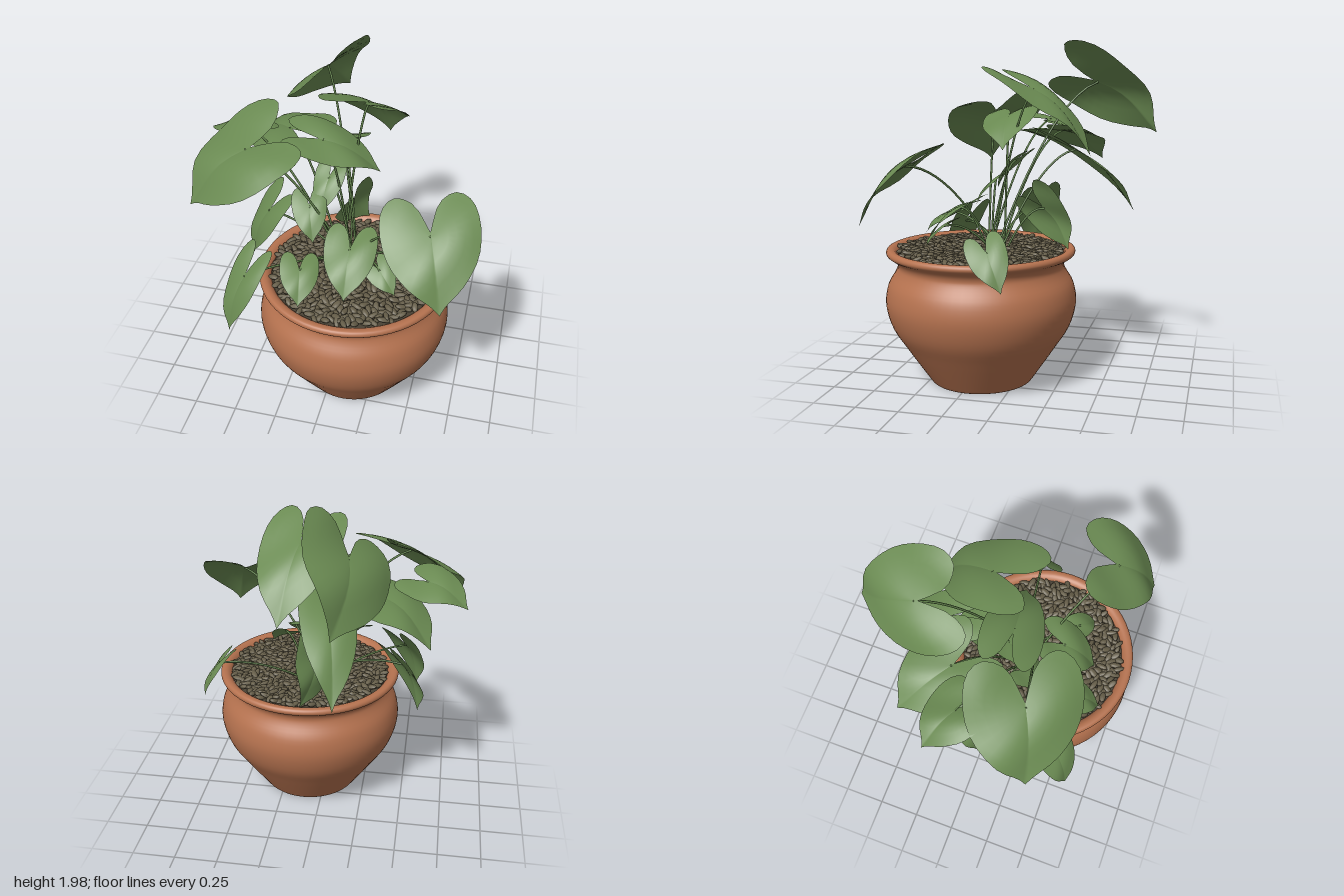
import * as THREE from 'three';
import { mergeGeometries } from 'three/addons/utils/BufferGeometryUtils.js';

const V = (a) => new THREE.Vector3(...a);
const CENTRE = [0.11, 0.22]; // pot axis in x, z

// Each leaf: where the stalk joins, tip, half-width, roll in degrees
const LEAVES = [
  [[-0.20, 1.75, -0.41], [-0.16, 1.47, -0.77], 0.29, -47],
  [[0.11, 1.71, -0.10], [0.18, 1.36, -0.44], 0.23, 0],
  [[-0.10, 1.56, 0.10], [0.22, 1.38, 0.06], 0.17, 12],
  [[-0.48, 1.56, 0.30], [-0.79, 1.24, 0.42], 0.32, -14],
  [[-0.37, 1.45, -0.16], [-0.64, 1.27, -0.38], 0.24, -7],
  [[-0.08, 1.36, -0.30], [-0.15, 1.00, -0.65], 0.16, -10],
  [[-0.60, 1.51, -0.04], [-0.82, 1.41, -0.15], 0.17, 12],
  [[-0.47, 0.84, 0.50], [-0.55, 0.51, 0.61], 0.12, 0],
  [[-0.47, 0.96, 0.01], [-0.58, 0.64, 0.04], 0.14, -20],
  [[0.57, 1.31, 0.50], [0.67, 1.00, 0.74], 0.26, 10],
  [[0.64, 0.87, 0.03], [0.72, 0.68, -0.07], 0.11, 34],
  [[0.11, 1.02, 0.35], [0.12, 0.82, 0.55], 0.15, 0],
  [[-0.14, 0.95, 0.50], [-0.11, 0.82, 0.65], 0.11, -5],
  [[0.29, 0.94, 0.39], [0.39, 0.84, 0.46], 0.08, 28],
  [[-0.16, 1.17, 0.20], [-0.11, 1.01, 0.32], 0.10, 8],
  [[0.02, 1.02, -0.14], [0.08, 0.80, -0.30], 0.16, -75],
  [[-0.08, 1.29, 0.06], [-0.10, 1.12, 0.18], 0.09, 0],
];

// Half of a heart outline, from tip round the lobe to the notch (across, along)
const half = new THREE.SplineCurve([
  [0, 1], [0.16, 0.87], [0.54, 0.65], [0.88, 0.32], [1, -0.06],
  [0.92, -0.4], [0.62, -0.55], [0.24, -0.42], [0, -0.06],
].map((p) => new THREE.Vector2(...p))).getPoints(20);
const outline = [
  ...half.map((p) => [p.x, p.y]).reverse(),
  ...half.slice(1).map((p) => [-p.x, p.y]),
];

// Curved heart blade made of rings growing out from the stalk
function leafGeometry(join, tip, width, roll) {
  const rings = 6;
  const cols = outline.length;
  const along = tip.clone().sub(join);
  const length = along.length();
  const axis = along.clone().normalize();
  const across = new THREE.Vector3(along.z, 0, -along.x).normalize();
  across.applyAxisAngle(axis, THREE.MathUtils.degToRad(roll));
  const normal = axis.clone().cross(across);
  const pos = [];
  const idx = [];
  for (let i = 0; i <= rings; i++) {
    for (let j = 0; j < cols; j++) {
      const s = outline[j][0] * i / rings;
      const t = outline[j][1] * i / rings;
      const lift = width * (0.18 * Math.abs(s) - 0.24 * s * s + 0.05 * Math.sin(5 * t + 3 * s))
        + length * 0.26 * t * (1 - t);
      const p = join.clone().addScaledVector(along, t).addScaledVector(across, s * width)
        .addScaledVector(normal, lift);
      pos.push(p.x, p.y, p.z);
      if (i < rings && j < cols - 1) {
        const a = i * cols + j;
        idx.push(a, a + cols, a + cols + 1);
        if (i > 0) idx.push(a, a + cols + 1, a + 1);
      }
    }
  }
  const g = new THREE.BufferGeometry();
  g.setAttribute('position', new THREE.Float32BufferAttribute(pos, 3));
  g.setIndex(idx);
  g.computeVertexNormals();
  return g;
}

// Stalk rising from the soil and bending over to the leaf
function stalkGeometry(join, i) {
  const a = i * 2.4;
  const base = V([0.06 + 0.05 * Math.cos(a), 0.75, 0.14 + 0.05 * Math.sin(a)]);
  const bend = base.clone().lerp(join, 0.55);
  bend.y = base.y + (join.y - base.y) * 0.85 + 0.06;
  const curve = new THREE.QuadraticBezierCurve3(base, bend, join);
  return new THREE.TubeGeometry(curve, 16, 0.0065, 6);
}

// Overlapping elongated pebbles, spiralled over the soil
function pebbleGeometry() {
  let seed = 7;
  const rand = () => (seed = (seed * 16807) % 2147483647) / 2147483647;
  const list = [];
  const count = 620;
  for (let i = 0; i < count; i++) {
    const r = 0.475 * Math.sqrt((i + 0.5) / count);
    const a = i * 2.39996;
    const g = new THREE.SphereGeometry(1, 8, 5);
    g.scale(0.03 + 0.014 * rand(), 0.013, 0.015 + 0.006 * rand());
    g.rotateZ((rand() - 0.5) * 0.8);
    g.rotateY(rand() * Math.PI * 2);
    g.translate(CENTRE[0] + r * Math.cos(a), 0.775 + 0.014 * rand(), CENTRE[1] + r * Math.sin(a));
    list.push(g);
  }
  return mergeGeometries(list);
}

export function createModel() {
  const model = new THREE.Group();
  const mat = (name, color, side = THREE.FrontSide) => {
    const m = new THREE.MeshStandardMaterial({ color, side });
    m.name = name;
    return m;
  };
  const terracotta = mat('terracotta', 0xb5724f);
  const leafGreen = mat('leaf green', 0x6a8a52, THREE.DoubleSide);
  const stalkGreen = mat('stalk green', 0x64844e);
  const pebbleBrown = mat('pebble brown', 0x665e49);
  const soilBrown = mat('soil brown', 0x4a4335);

  const add = (name, geometry, material, parent = model) => {
    const mesh = new THREE.Mesh(geometry, material);
    mesh.name = name;
    parent.add(mesh);
    return mesh;
  };

  // Pot: recessed foot, round belly, narrow neck and rolled rim
  const belly = new THREE.SplineCurve([
    [0.305, 0.005], [0.37, 0.1], [0.45, 0.22], [0.525, 0.34], [0.56, 0.47],
    [0.545, 0.58], [0.5, 0.66], [0.488, 0.7], [0.505, 0.735], [0.545, 0.76],
    [0.553, 0.78], [0.54, 0.797], [0.51, 0.795], [0.485, 0.77], [0.475, 0.72],
  ].map((p) => new THREE.Vector2(...p))).getPoints(56);
  const foot = [[0, 0.02], [0.26, 0.02], [0.285, 0.003], [0.3, 0]]
    .map((p) => new THREE.Vector2(...p));
  add('pot', new THREE.LatheGeometry([...foot, ...belly], 64), terracotta)
    .position.set(CENTRE[0], 0, CENTRE[1]);

  // Soil and pebbles
  add('soil', new THREE.CylinderGeometry(0.485, 0.475, 0.03, 48), soilBrown)
    .position.set(CENTRE[0], 0.755, CENTRE[1]);
  add('pebbles', pebbleGeometry(), pebbleBrown);

  // Plant
  const plant = new THREE.Group();
  plant.name = 'plant';
  model.add(plant);
  LEAVES.forEach(([join, tip, width, roll], i) => {
    add('leaf', leafGeometry(V(join), V(tip), width, roll), leafGreen, plant);
    add('stalk', stalkGeometry(V(join), i), stalkGreen, plant);
  });
  return model;
}
